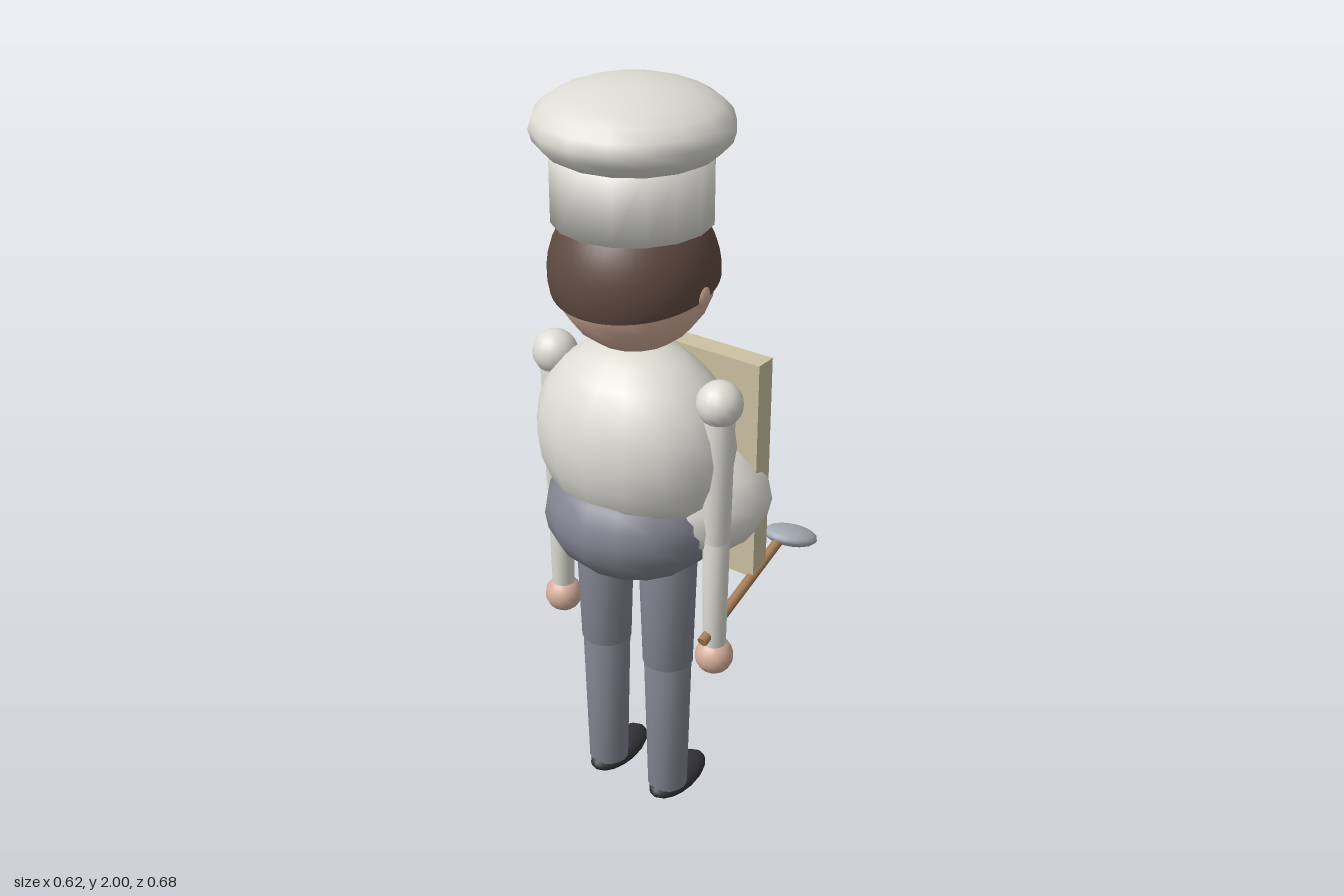
import * as THREE from 'three';
import { mergeVertices } from 'three/addons/utils/BufferGeometryUtils.js';
import { ParametricGeometry } from 'three/addons/geometries/ParametricGeometry.js';

const mat = (name, color, side = THREE.FrontSide) => {
  const m = new THREE.MeshStandardMaterial({ color, side });
  m.name = name;
  return m;
};

export function createModel() {
  const white = mat('white cloth', 0xdddcd4);
  const skin = mat('skin', 0xd6ae9a);
  const hairBrown = mat('hair brown', 0x604a42, THREE.DoubleSide);
  const darkBrown = mat('moustache brown', 0x3c2c28);
  const trouser = mat('trouser grey', 0x838491);
  const shoe = mat('shoe black', 0x35353a);
  const board = mat('board beige', 0xccc1a2);
  const wood = mat('wood', 0xa67c55);
  const metal = mat('metal', 0xaab0b8);
  const black = mat('pupil black', 0x18181a);

  const model = new THREE.Group();
  model.name = 'cook';
  const CX = -0.005, CZ = 0.1; // body axis; the figure looks towards -z

  const add = (name, geometry, material, x, y, z) => {
    const mesh = new THREE.Mesh(geometry, material);
    mesh.name = name;
    mesh.position.set(x, y, z);
    model.add(mesh);
    return mesh;
  };
  const ellipsoid = (name, material, [x, y, z], [rx, ry, rz]) =>
    add(name, new THREE.SphereGeometry(1, 16, 12).scale(rx, ry, rz), material, x, y, z);

  // Cylinder between two heights, with normals blended round its rims
  const softCylinder = (name, material, x, z, y0, y1, r0, r1) => {
    let g = new THREE.CylinderGeometry(r1, r0, y1 - y0, 16);
    g.deleteAttribute('normal');
    g.deleteAttribute('uv');
    g = mergeVertices(g);
    g.computeVertexNormals();
    return add(name, g, material, x, (y0 + y1) / 2, z);
  };

  // Body
  ellipsoid('hips', trouser, [CX, 0.89, CZ], [0.237, 0.17, 0.228]);
  ellipsoid('torso', white, [CX, 1.105, CZ], [0.27, 0.255, 0.212]);
  ellipsoid('belly', white, [CX, 0.91, -0.01], [0.301, 0.175, 0.255]);
  add('apronBoard', new THREE.BoxGeometry(0.506, 0.61, 0.06), board, -0.007, 0.984, -0.1);

  // Arms and legs
  for (const s of [-1, 1]) {
    const side = s < 0 ? 'right' : 'left';
    const ax = CX + s * 0.247, lx = CX + s * 0.101;
    ellipsoid(side + 'Shoulder', white, [CX + s * 0.25, 1.258, CZ], [0.058, 0.058, 0.058]);
    softCylinder(side + 'UpperArm', white, ax, CZ, 0.88, 1.25, 0.036, 0.042);
    softCylinder(side + 'Forearm', white, ax, CZ, 0.56, 0.89, 0.03, 0.035);
    ellipsoid(side + 'Hand', skin, [ax, 0.532, CZ], [0.05, 0.05, 0.05]);
    softCylinder(side + 'Thigh', trouser, lx, CZ, 0.46, 0.85, 0.067, 0.079);
    softCylinder(side + 'Shin', trouser, lx, CZ, 0.05, 0.47, 0.054, 0.064);
    ellipsoid(side + 'Shoe', shoe, [lx, 0.039, 0.053], [0.055, 0.039, 0.112]);
  }

  // Head and face
  const headY = 1.545;
  ellipsoid('head', skin, [CX, headY, CZ], [0.198, 0.2, 0.198]);
  for (const s of [-1, 1]) {
    ellipsoid('ear', skin, [CX + s * 0.195, 1.525, CZ + 0.003], [0.018, 0.03, 0.025]);
    ellipsoid('eyeWhite', white, [CX + s * 0.075, 1.545, -0.079], [0.02, 0.022, 0.012]);
    ellipsoid('pupil', black, [CX + s * 0.075, 1.543, -0.089], [0.012, 0.014, 0.006]);
  }
  ellipsoid('nose', skin, [CX, 1.515, -0.1], [0.018, 0.018, 0.015]);
  ellipsoid('moustache', darkBrown, [CX, 1.472, -0.08], [0.082, 0.018, 0.026]);

  // Hair shell: short fringe over the face, longer at the sides and back
  const hair = new ParametricGeometry((u, v, p) => {
    const phi = u * Math.PI * 2;
    const face = Math.cos(phi) > Math.cos(0.78);
    const low = face ? 0.085 : -0.03 + 0.035 * Math.cos(phi);
    const t = THREE.MathUtils.lerp(0.3, Math.acos(low / 0.207), v);
    p.set(Math.sin(t) * Math.sin(phi), Math.cos(t), -Math.sin(t) * Math.cos(phi)).multiplyScalar(0.207);
  }, 48, 10);
  add('hair', hair, hairBrown, CX, headY, CZ);

  // Hat
  softCylinder('hatBand', white, CX - 0.002, CZ, 1.67, 1.84, 0.194, 0.194);
  ellipsoid('hatPuff', white, [CX, 1.895, CZ], [0.24, 0.105, 0.24]);

  // Ladle held in the left hand
  const from = new THREE.Vector3(0.238, 0.596, 0.15), to = new THREE.Vector3(0.238, 0.728, -0.225);
  const handle = add('ladleHandle', new THREE.CylinderGeometry(0.014, 0.014, from.distanceTo(to), 10), wood, 0, 0, 0);
  handle.position.lerpVectors(from, to, 0.5);
  handle.quaternion.setFromUnitVectors(new THREE.Vector3(0, 1, 0), to.clone().sub(from).normalize());
  ellipsoid('ladleBowl', metal, [0.238, 0.709, -0.265], [0.07, 0.025, 0.083]).rotation.x = -0.35;

  return model;
}
